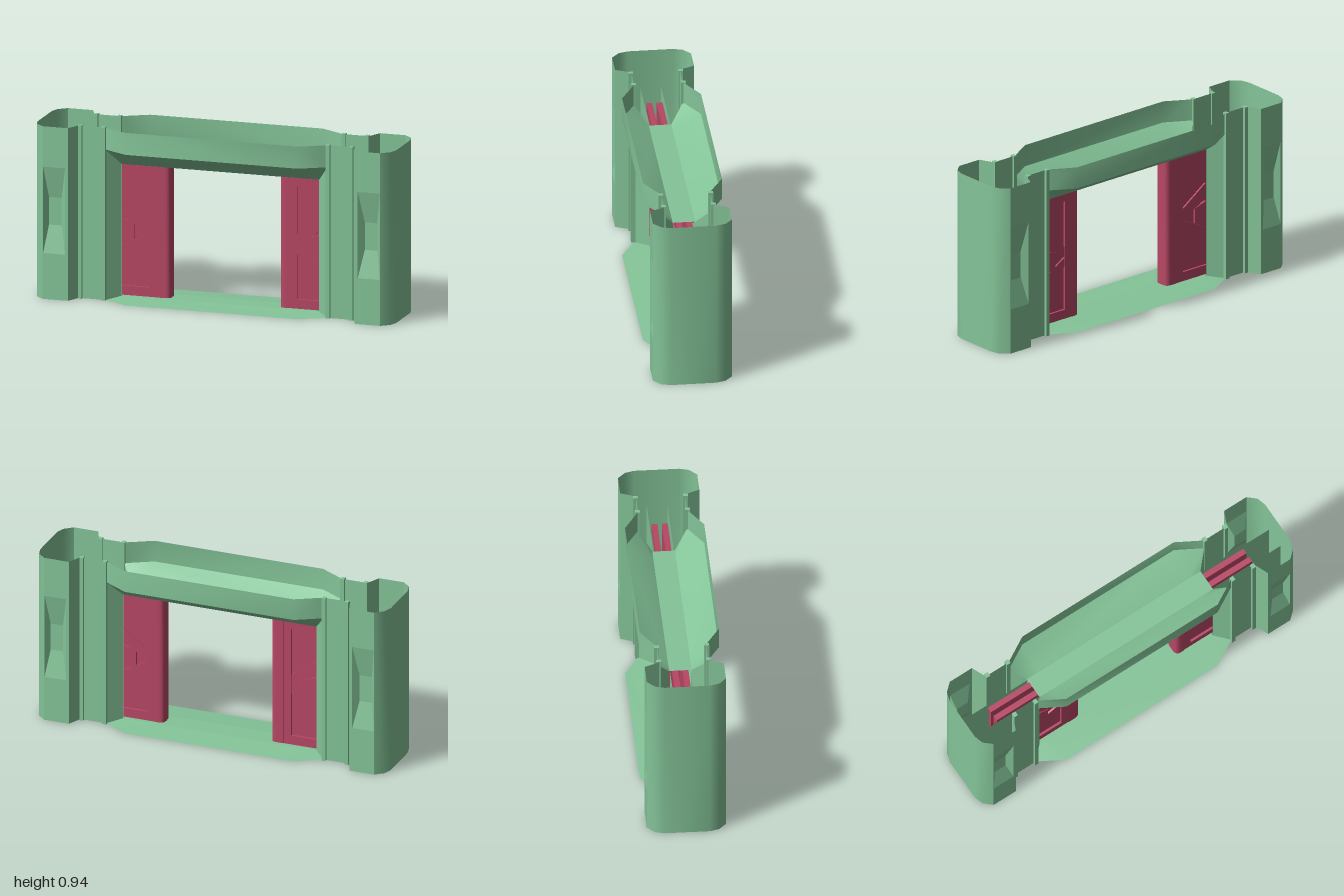
import * as THREE from 'three';
import { toCreasedNormals } from 'three/addons/utils/BufferGeometryUtils.js';

const H = 0.94;
const green = new THREE.MeshStandardMaterial({ color: 0x84c498, side: THREE.DoubleSide });
green.name = 'frame green';
const red = new THREE.MeshStandardMaterial({ color: 0xb84765, side: THREE.DoubleSide });
red.name = 'door red';

// Surface between rows of [x, y, z] points, all rows equally long
function loft(rows, closed = false, crease = 0.9) {
  const n = rows[0].length, index = [];
  for (let r = 0; r < rows.length - 1; r++) {
    for (let i = 0; i < (closed ? n : n - 1); i++) {
      const a = r * n + i, b = r * n + (i + 1) % n;
      index.push(a, b, a + n, b, b + n, a + n);
    }
  }
  const g = new THREE.BufferGeometry();
  g.setAttribute('position', new THREE.Float32BufferAttribute(rows.flat(2), 3));
  g.setIndex(index);
  return toCreasedNormals(g, crease);
}

// Vertical sheet along a plan of [x, z] points
const wall = (plan, y0 = 0, y1 = H) =>
  loft([plan.map(([x, z]) => [x, y0, z]), plan.map(([x, z]) => [x, y1, z])]);

function add(parent, name, geometry, material) {
  const m = new THREE.Mesh(geometry, material);
  m.name = name;
  parent.add(m);
  return m;
}

function box(parent, name, x0, x1, y0, y1, z0, z1, material) {
  const m = add(parent, name, new THREE.BoxGeometry(Math.abs(x1 - x0), y1 - y0, Math.abs(z1 - z0)), material);
  m.position.set((x0 + x1) / 2, (y0 + y1) / 2, (z0 + z1) / 2);
}

function polygon(points) {
  return new THREE.Shape(points.map(([x, y]) => new THREE.Vector2(x, y)));
}

// One front or back half of a side post, with its sunken grip
function addPostHalf(parent, sx, sz) {
  const P = (pts) => pts.map(([x, z]) => [x * sx, z * sz]);
  add(parent, 'sideWall', wall(P([[0.62, 0.13], [0.765, 0.13], [0.8, 0.21]])), green);
  add(parent, 'postCorner', wall(P([[0.94, 0.21], [0.985, 0.17], [1, 0.12], [1, 0]])), green);

  const rect = (x0, x1, y0, y1) =>
    [[x0, y0], [x1, y0], [x1, y1], [x0, y1]].map(([x, y]) => [x * sx, y]);
  const face = polygon(rect(0.8, 0.94, 0, H));
  const outer = rect(0.815, 0.938, 0.25, 0.72), inner = rect(0.845, 0.915, 0.4, 0.55);
  face.holes.push(new THREE.Path(outer.map(([x, y]) => new THREE.Vector2(x, y))));
  const front = add(parent, 'postFace', new THREE.ShapeGeometry(face), green);
  front.position.z = 0.21 * sz;
  if (sz < 0) front.geometry.scale(1, 1, -1);
  add(parent, 'gripRecess', loft([
    outer.map(([x, y]) => [x, y, 0.21 * sz]),
    inner.map(([x, y]) => [x, y, 0.18 * sz]),
  ], true, 0.1), green);
  add(parent, 'gripFloor', new THREE.ShapeGeometry(polygon(inner)), green).position.z = 0.18 * sz;

  // Slim ribs either side of the wall strip
  for (const x of [0.625, 0.755]) {
    box(parent, 'rib', sx * (x - 0.011), sx * (x + 0.011), 0, H + 0.003, sz * 0.12, sz * 0.146, green);
  }
  // Splayed jamb and inner pocket sheet
  add(parent, 'jamb', loft([
    [[0.62 * sx, 0, 0.13 * sz], [0.62 * sx, 0.82, 0.13 * sz]],
    [[0.55 * sx, 0.012, 0.06 * sz], [0.55 * sx, 0.73, 0.06 * sz]],
  ]), green);
  add(parent, 'pocketSheet', wall(P([[0.55, 0.055], [0.98, 0.055]]), 0, 0.73), green);
}

// Header band, sloping lintel and low sill on one face
function addSpan(parent, sz) {
  const outer = [[-0.62, 0.13], [-0.48, 0.21], [0.48, 0.21], [0.62, 0.13]].map(([x, z]) => [x, z * sz]);
  const innerX = [-0.55, -0.48, 0.48, 0.55];
  const slope = (y0, y1) => loft([
    outer.map(([x, z]) => [x, y0, z]),
    innerX.map((x) => [x, y1, 0.06 * sz]),
  ]);
  add(parent, 'headerBand', wall(outer, 0.82, H), green);
  add(parent, 'lintelSlope', slope(0.82, 0.73), green);
  add(parent, 'sillSlope', slope(0, 0.012), green);
}

// Sliding leaf: edge is its closing side, strip the width of its edge post
function addDoor(parent, name, s, edge, strip) {
  const door = new THREE.Group();
  door.name = name;
  parent.add(door);
  const y0 = 0.014, y1 = 0.725, x0 = edge + strip, x1 = 0.81;
  for (const sz of [1, -1]) {
    const plate = (label, a, b, c, d, zTop) =>
      box(door, label, s * a, s * b, c, d, sz * 0.012, sz * zTop, red);
    plate('doorPanel', x0, x1, y0, y1, 0.03);
    plate('doorStile', x0, x0 + 0.045, y0, y1, 0.043);
    plate('topRail', x0, x1, 0.68, y1, 0.043);
    plate('bottomRail', x0, x1, y0, 0.065, 0.043);
    // Raised braces and centre boss
    const a = x0 + 0.045, shapes = [
      [[a, 0.42], [0.56, 0.53], [0.56, 0.46], [0.52, 0.42], [a, 0.36]],
      [[a, 0.31], [0.56, 0.21], [0.56, 0.28], [0.52, 0.3], [a, 0.36]],
      [[0.56, 0.43], [0.485, 0.405], [0.485, 0.32], [0.56, 0.29]],
    ];
    shapes.forEach((pts, i) => {
      const g = new THREE.ExtrudeGeometry(polygon(pts.map(([x, y]) => [x * s, y])),
        { depth: i < 2 ? 0.01 : 0.014, bevelEnabled: false });
      add(door, i < 2 ? 'brace' : 'boss', g, red).position.z = sz > 0 ? 0.03 : (i < 2 ? -0.04 : -0.044);
    });
  }
  // Rounded closing edge
  const h = 0.045, r = 0.03, e = new THREE.Shape();
  e.moveTo(s * x0, -h);
  e.lineTo(s * (edge + r), -h);
  e.quadraticCurveTo(s * edge, -h, s * edge, -h + r);
  e.lineTo(s * edge, h - r);
  e.quadraticCurveTo(s * edge, h, s * (edge + r), h);
  e.lineTo(s * x0, h);
  e.closePath();
  const g = new THREE.ExtrudeGeometry(e, { depth: y1 - y0, bevelEnabled: false, curveSegments: 6 });
  g.rotateX(-Math.PI / 2);
  add(door, 'closingEdge', toCreasedNormals(g, 0.6), red).position.y = y0;
}

export function createModel() {
  const model = new THREE.Group();
  model.name = 'slidingDoorway';
  const frame = new THREE.Group();
  frame.name = 'frame';
  model.add(frame);

  for (const sz of [1, -1]) {
    addSpan(frame, sz);
    for (const sx of [1, -1]) addPostHalf(frame, sx, sz);
  }
  // Flat soffit and threshold between the two faces
  for (const [name, y] of [['soffit', 0.73], ['threshold', 0.012]]) {
    const g = new THREE.PlaneGeometry(1.1, 0.12);
    g.rotateX(-Math.PI / 2);
    add(frame, name, g, green).position.y = y;
  }
  addDoor(model, 'rightDoor', -1, 0.285, 0.07);
  addDoor(model, 'leftDoor', 1, 0.325, 0.05);
  return model;
}
